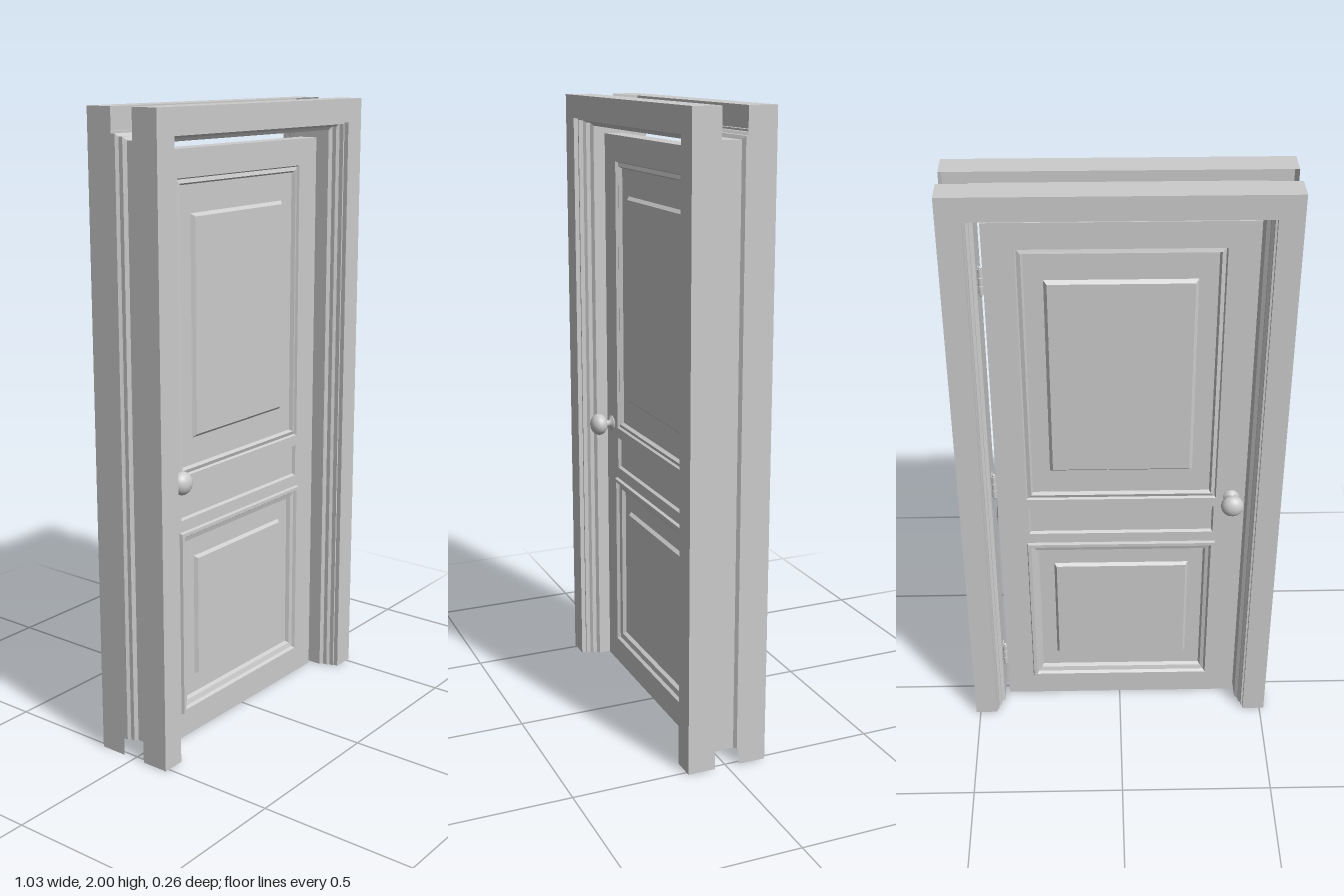
import * as THREE from 'three';

const material = new THREE.MeshStandardMaterial({ color: 0xcccccc });
const shellMaterial = new THREE.MeshStandardMaterial({ color: 0xcccccc, side: THREE.DoubleSide });

function addMesh(parent, name, geometry, mat = material) {
  const mesh = new THREE.Mesh(geometry, mat);
  mesh.name = name;
  parent.add(mesh);
  return mesh;
}

// Flat-shaded surface through successive rows of points
function loft(rows, closed, capLast) {
  const pos = [];
  const tri = (...points) => points.forEach((p) => pos.push(...p));
  for (let r = 0; r < rows.length - 1; r++) {
    const a = rows[r], b = rows[r + 1], n = a.length;
    for (let i = 0; i < (closed ? n : n - 1); i++) {
      const j = (i + 1) % n;
      tri(a[i], a[j], b[j]);
      tri(a[i], b[j], b[i]);
    }
  }
  if (capLast) {
    const c = rows[rows.length - 1];
    tri(c[0], c[1], c[2]);
    tri(c[0], c[2], c[3]);
  }
  const g = new THREE.BufferGeometry();
  g.setAttribute('position', new THREE.Float32BufferAttribute(pos, 3));
  g.computeVertexNormals();
  return g;
}

// Door frame: one moulded profile (half width, z) swept round the mitred opening
function frameGeometry() {
  const half = [
    [0.515, 0.04], [0.515, 0.13], [0.44, 0.13], [0.44, 0.115], [0.434, 0.115],
    [0.434, 0.1], [0.426, 0.092], [0.426, 0.078], [0.415, 0.07],
  ];
  const profile = [...half, ...half.map(([w, z]) => [w, -z]).reverse()];
  const rows = profile.map(([w, z]) => {
    const top = w + 1.485;
    return [[w, 0, z], [w, top, z], [-w, top, z], [-w, 0, z]];
  });
  return loft(rows, false, false);
}

const FACE = 0.032; // half the door's thickness
const DOOR_W = 0.405;
const DOOR_H = 1.875;

// Panels: half width, bottom, top, and steps of [x inset, y inset, z]
const panels = [
  {
    name: 'upperPanel', w: 0.31, y0: 0.88, y1: 1.79,
    steps: [[0, 0, FACE], [0.004, 0.004, 0.024], [0.016, 0.016, 0.028], [0.022, 0.022, 0.016],
      [0.08, 0.108, 0.016], [0.09, 0.118, 0.027]],
  },
  {
    name: 'middlePanel', w: 0.305, y0: 0.738, y1: 0.845,
    steps: [[0, 0, FACE], [0.005, 0.005, 0.022]],
  },
  {
    name: 'lowerPanel', w: 0.315, y0: 0.085, y1: 0.7,
    steps: [[0, 0, FACE], [0.003, 0.003, 0.042], [0.014, 0.014, 0.042], [0.02, 0.02, 0.032],
      [0.032, 0.036, 0.028], [0.038, 0.042, 0.016], [0.088, 0.103, 0.016], [0.096, 0.111, 0.027]],
  },
];

function rectPoints(x0, y0, x1, y1) {
  return [[x0, y0], [x1, y0], [x1, y1], [x0, y1]].map(([x, y]) => new THREE.Vector2(x, y));
}

function panelGeometry({ w, y0, y1, steps }) {
  const rows = steps.map(([dx, dy, z]) =>
    rectPoints(-w + dx, y0 + dy, w - dx, y1 - dy).map((p) => [p.x, p.y, z]));
  return loft(rows, true, true);
}

// Stiles and rails: a slab pierced where the panels sit
function slabGeometry() {
  const shape = new THREE.Shape(rectPoints(-DOOR_W, 0, DOOR_W, DOOR_H));
  for (const p of panels) shape.holes.push(new THREE.Path(rectPoints(-p.w, p.y0, p.w, p.y1)));
  return new THREE.ExtrudeGeometry(shape, { depth: 2 * FACE, bevelEnabled: false })
    .translate(0, 0, -FACE);
}

// Knob turned on a lathe: rose, neck and flattened ball
function knobGeometry() {
  const points = [[0.026, 0], [0.026, 0.005], [0.012, 0.009], [0.011, 0.022]];
  for (let i = 0; i <= 12; i++) {
    const a = -1.2 + (i / 12) * (1.2 + Math.PI / 2);
    points.push([Math.max(0, 0.037 * Math.cos(a)), 0.05 + 0.029 * Math.sin(a)]);
  }
  return new THREE.LatheGeometry(points.map(([r, y]) => new THREE.Vector2(r, y)), 28)
    .rotateX(Math.PI / 2);
}

export function createModel() {
  const model = new THREE.Group();
  model.name = 'panelledDoor';

  addMesh(model, 'doorFrame', frameGeometry(), shellMaterial);

  const door = new THREE.Group();
  door.name = 'door';
  door.position.x = -0.005;
  model.add(door);
  addMesh(door, 'stilesAndRails', slabGeometry());

  // Same panels and knob on both faces
  const knob = knobGeometry();
  for (const side of [1, -1]) {
    const face = new THREE.Group();
    face.name = side > 0 ? 'frontFace' : 'backFace';
    face.rotation.y = side > 0 ? 0 : Math.PI;
    door.add(face);
    for (const p of panels) addMesh(face, p.name, panelGeometry(p));
    addMesh(face, 'knob', knob).position.set(-0.36 * side, 0.885, FACE);
  }

  // Hinges on the left edge: leaf and knuckles with finials
  for (const y of [1.69, 0.94, 0.195]) {
    const hinge = new THREE.Group();
    hinge.name = 'hinge';
    hinge.position.set(0.407, y, -0.034);
    model.add(hinge);
    addMesh(hinge, 'hingeLeaf', new THREE.BoxGeometry(0.004, 0.08, 0.03)).position.set(0.006, 0, 0.012);
    for (const dy of [-0.028, 0, 0.028]) {
      addMesh(hinge, 'hingeKnuckle', new THREE.CylinderGeometry(0.008, 0.008, 0.025, 12)).position.y = dy;
    }
    for (const s of [-1, 1]) {
      addMesh(hinge, 'hingeFinial', new THREE.SphereGeometry(0.006, 10, 8)).position.y = s * 0.044;
    }
  }

  return model;
}
